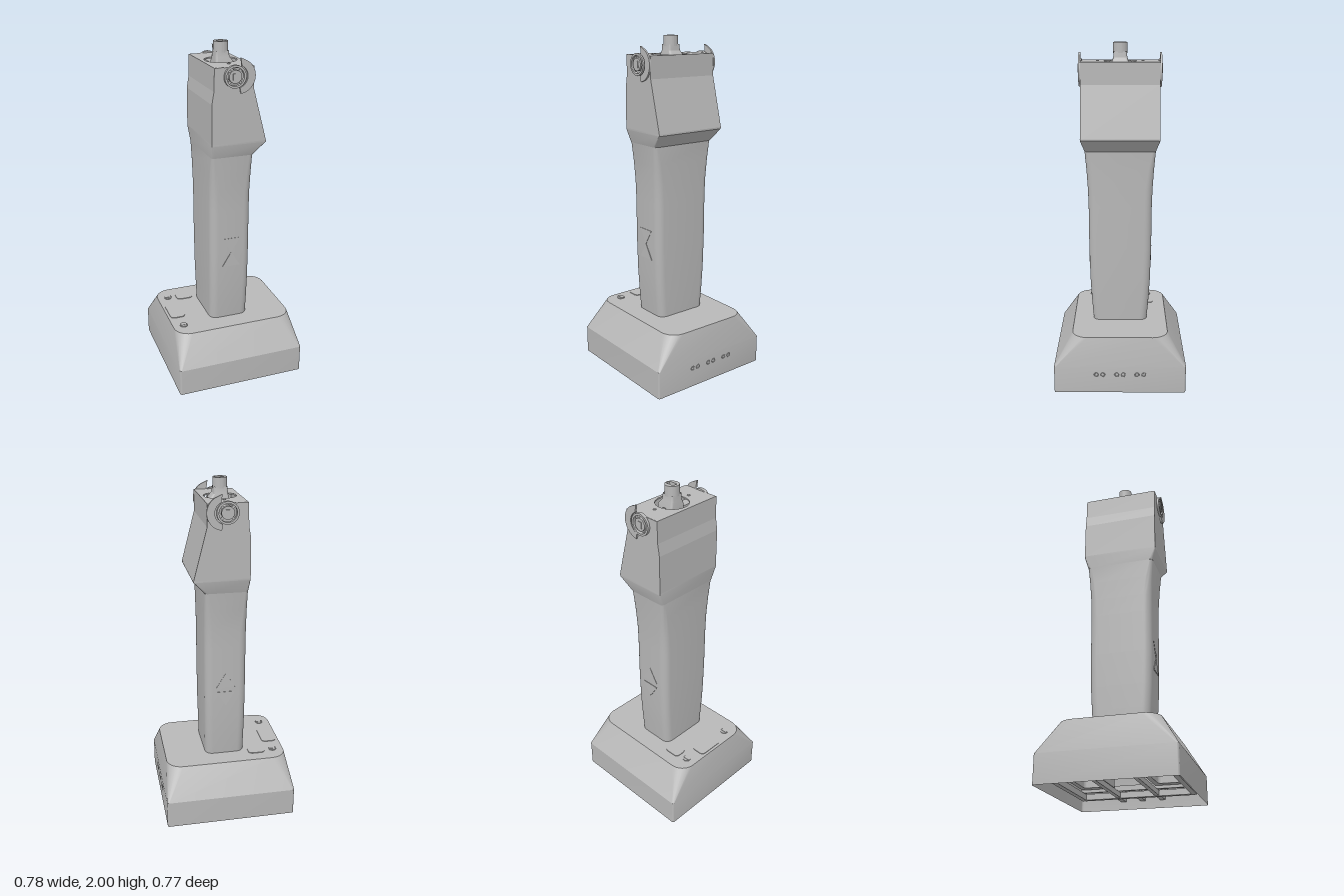
import * as THREE from 'three';
import { toCreasedNormals } from 'three/addons/utils/BufferGeometryUtils.js';

const grey = new THREE.MeshStandardMaterial({ color: 0xb8b8b8, side: THREE.DoubleSide });
grey.name = 'plain grey';

// Rounded rectangle in the x/z plane, as a list of points
function outline(x0, x1, z0, z1, r, steps = 6) {
  const pts = [];
  const corners = [[x1 - r, z1 - r], [x0 + r, z1 - r], [x0 + r, z0 + r], [x1 - r, z0 + r]];
  corners.forEach(([cx, cz], c) => {
    for (let i = 0; i <= steps; i++) {
      const a = (c + i / steps) * Math.PI / 2;
      pts.push(new THREE.Vector2(cx + r * Math.cos(a), cz + r * Math.sin(a)));
    }
  });
  return pts;
}

// Open skin through rounded sections [y, x0, x1, z half width, corner radius]
function loft(sections, crease = 0.4) {
  const pos = [], idx = [];
  let n = 0;
  sections.forEach(([y, x0, x1, z, r]) => {
    const ring = outline(x0, x1, -z, z, r);
    n = ring.length;
    ring.forEach(p => pos.push(p.x, y, p.y));
  });
  for (let s = 0; s < sections.length - 1; s++) {
    for (let i = 0; i < n; i++) {
      const j = (i + 1) % n, b = s * n, t = b + n;
      idx.push(b + i, t + i, b + j, t + i, t + j, b + j);
    }
  }
  const g = new THREE.BufferGeometry();
  g.setAttribute('position', new THREE.Float32BufferAttribute(pos, 3));
  g.setIndex(idx);
  return toCreasedNormals(g, crease);
}

// Horizontal plate whose upper face lies at y
function plate(shape, y, thickness) {
  return new THREE.ExtrudeGeometry(shape, { depth: thickness, bevelEnabled: false, curveSegments: 24 })
    .rotateX(Math.PI / 2).translate(0, y, 0);
}

function circlePath(x, y, r) {
  return new THREE.Path().absarc(x, y, r, 0, Math.PI * 2, true);
}

export function createModel() {
  const model = new THREE.Group();
  model.name = 'pedestal';

  const group = (name, parent = model) => {
    const g = new THREE.Group();
    g.name = name;
    parent.add(g);
    return g;
  };
  const add = (name, geometry, parent = model) => {
    const m = new THREE.Mesh(geometry, grey);
    m.name = name;
    parent.add(m);
    return m;
  };
  const box = (name, w, h, d, x, y, z, parent) =>
    add(name, new THREE.BoxGeometry(w, h, d).translate(x, y, z), parent);

  // Base: hollow skirt, open below, with a lid pierced for the column
  const base = group('base');
  add('baseSkirt', loft([
    [0, -0.39, 0.39, 0.387, 0.012],
    [0.165, -0.39, 0.39, 0.387, 0.012],
    [0.342, -0.366, 0.366, 0.281, 0.09],
  ]), base);
  const lid = new THREE.Shape(outline(-0.366, 0.366, -0.281, 0.281, 0.09));
  lid.holes.push(new THREE.Path(outline(-0.117, 0.115, -0.16, 0.16, 0.04).reverse()));
  add('baseLid', plate(lid, 0.342, 0.012), base);

  // Covers and buttons on the lid
  add('largeCover', plate(new THREE.Shape(outline(-0.35, -0.258, -0.085, 0.082, 0.025)), 0.346, 0.005), base);
  add('smallCover', plate(new THREE.Shape(outline(-0.248, -0.144, -0.21, -0.128, 0.025)), 0.346, 0.005), base);
  for (const z of [-0.176, 0.176]) {
    add('button', new THREE.CylinderGeometry(0.023, 0.023, 0.006, 24).translate(-0.3, 0.344, z), base);
    box('buttonRib', 0.042, 0.003, 0.014, -0.3, 0.348, z, base);
  }

  // Paired sockets on the skirt
  for (const z of [-0.12, 0, 0.12]) {
    for (const s of [-0.02, 0.02]) {
      add('socket', new THREE.TorusGeometry(0.011, 0.003, 6, 20)
        .rotateY(Math.PI / 2).translate(0.39, 0.115, z + s), base);
    }
  }

  // Chassis rails and two open trays under the base
  const chassis = group('chassis', base);
  for (const s of [-1, 1]) {
    box('longRail', 0.03, 0.035, 0.66, s * 0.27, 0.06, 0, chassis);
    box('innerRail', 0.02, 0.03, 0.66, s * 0.22, 0.09, 0, chassis);
    box('crossRail', 0.56, 0.035, 0.03, 0, 0.06, s * 0.33, chassis);
    box('middleRail', 0.54, 0.03, 0.025, 0, 0.06, s * 0.115, chassis);
    const tray = new THREE.Shape(outline(-0.2, 0.2, s * 0.22 - 0.1, s * 0.22 + 0.1, 0.02));
    tray.holes.push(new THREE.Path(outline(-0.15, 0.15, s * 0.22 - 0.07, s * 0.22 + 0.07, 0.02).reverse()));
    add('tray', plate(tray, 0.14, 0.05), chassis);
  }
  for (const z of [-0.12, 0, 0.12]) box('sideBracket', 0.1, 0.03, 0.03, 0.33, 0.06, z, chassis);

  // Column: rounded tube widening towards the top
  const column = group('column');
  add('columnSkin', loft([
    [0.335, -0.12, 0.117, 0.163, 0.045],
    [0.46, -0.122, 0.119, 0.173, 0.045],
    [0.6, -0.124, 0.121, 0.181, 0.045],
    [0.8, -0.125, 0.122, 0.186, 0.045],
    [1.05, -0.125, 0.122, 0.187, 0.045],
    [1.16, -0.125, 0.122, 0.19, 0.043],
    [1.28, -0.125, 0.123, 0.197, 0.035],
    [1.39, -0.126, 0.124, 0.206, 0.025],
  ], 0.7), column);

  // Thin triangle marks on the front and back of the column
  const triangle = (x, y, h) => new THREE.Shape([
    new THREE.Vector2(x - 0.055, y), new THREE.Vector2(x + 0.055, y), new THREE.Vector2(x, y + h)]);
  for (const [y, h, side] of [[0.88, -0.09, 1], [0.7, 0.09, 1], [0.8, 0.09, -1], [0.77, -0.09, -1]]) {
    add('triangleMark', new THREE.ExtrudeGeometry(triangle(0, y, h), { depth: 0.004, bevelEnabled: false })
      .translate(0, 0, side > 0 ? 0.184 : -0.188), column);
  }

  // Head: flared collar, sloping panels, pierced side plates and lid
  const head = group('head');
  add('collar', loft([
    [1.39, -0.126, 0.124, 0.206, 0.02],
    [1.465, -0.131, 0.19, 0.227, 0.006],
    [1.475, -0.131, 0.19, 0.227, 0.006],
  ]), head);

  const profile = [[-0.131, 1.47], [0.19, 1.47], [0.112, 1.77], [0.112, 1.895],
    [-0.115, 1.895], [-0.118, 1.77], [-0.13, 1.7]];
  const panel = (name, [xa, ya], [xb, yb]) => {
    const t = 0.008, length = Math.hypot(xb - xa, yb - ya);
    const g = new THREE.BoxGeometry(t, length, 0.44).translate(-t / 2, 0, 0);
    g.rotateZ(Math.atan2(yb - ya, xb - xa) - Math.PI / 2);
    add(name, g.translate((xa + xb) / 2, (ya + yb) / 2, 0), head);
  };
  [1, 2, 4, 5].forEach(i => panel('headPanel', profile[i], profile[i + 1]));
  panel('headPanel', profile[6], profile[0]);

  const hubY = 1.845;
  const sidePlate = new THREE.Shape(profile.map(p => new THREE.Vector2(...p)));
  sidePlate.holes.push(circlePath(0, hubY, 0.05));
  const top = new THREE.Shape(outline(-0.115, 0.112, -0.224, 0.224, 0.015));
  top.holes.push(circlePath(0, 0, 0.093));
  add('headLid', plate(top, 1.896, 0.008), head);
  for (const s of [-1, 1]) {
    add('lidScrew', new THREE.CylinderGeometry(0.009, 0.009, 0.004, 12).translate(0, 1.897, s * 0.13), head);
  }

  // Side plate, hub, spokes and curved hook, repeated front and back
  const hook = new THREE.Shape();
  hook.absarc(0.022, hubY, 0.094, -1.45, 1.15, false);
  hook.lineTo(0.03, hubY + 0.1);
  hook.lineTo(0.035, hubY + 0.066);
  hook.absarc(0.01, hubY, 0.062, 1.15, -1.3, true);
  for (const s of [-1, 1]) {
    const side = group(s > 0 ? 'frontSide' : 'backSide', head);
    const slab = (name, shape, z, depth) => add(name,
      new THREE.ExtrudeGeometry(shape, { depth, bevelEnabled: false, curveSegments: 24 })
        .translate(0, 0, s > 0 ? z : -z - depth), side);
    slab('sidePlate', sidePlate, 0.218, 0.008);
    slab('hook', hook, 0.225, 0.011);
    const rim = new THREE.Shape().absarc(0, hubY, 0.062, 0, Math.PI * 2);
    rim.holes.push(circlePath(0, hubY, 0.05));
    slab('hubRim', rim, 0.22, 0.02);
    const hub = new THREE.Shape().absarc(0, hubY, 0.036, 0, Math.PI * 2);
    slab('hub', hub, 0.215, 0.024);
    box('hubBlock', 0.03, 0.036, 0.006, 0, hubY, s * 0.24, side);
    for (let i = 0; i < 4; i++) {
      const a = Math.PI / 4 + i * Math.PI / 2;
      add('spoke', new THREE.BoxGeometry(0.024, 0.014, 0.012).translate(0.042, 0, 0)
        .rotateZ(a).translate(0, hubY, s * 0.225), side);
    }
  }

  // Top mount: axle between the hubs, bracket and hollow post
  const mount = group('topMount');
  box('axle', 0.055, 0.04, 0.436, 0, hubY, 0, mount);
  add('bracket', loft([
    [1.862, -0.045, 0.065, 0.05, 0.012],
    [1.885, -0.045, 0.065, 0.05, 0.012],
    [1.915, -0.04, 0.042, 0.04, 0.012],
    [1.95, -0.038, 0.038, 0.038, 0.012],
  ]), mount);
  for (const s of [-1, 1]) {
    box('bracketTab', 0.026, 0.01, 0.03, 0, 1.87, s * 0.06, mount);
    add('bracketScrew', new THREE.CylinderGeometry(0.008, 0.008, 0.008, 12).translate(0, 1.878, s * 0.062), mount);
  }
  const post = new THREE.Shape().absarc(0, 0, 0.041, 0, Math.PI * 2);
  post.holes.push(new THREE.Path(outline(-0.022, 0.032, -0.015, 0.015, 0.003).reverse()));
  add('post', toCreasedNormals(plate(post, 2, 0.06), 0.5), mount);

  return model;
}
